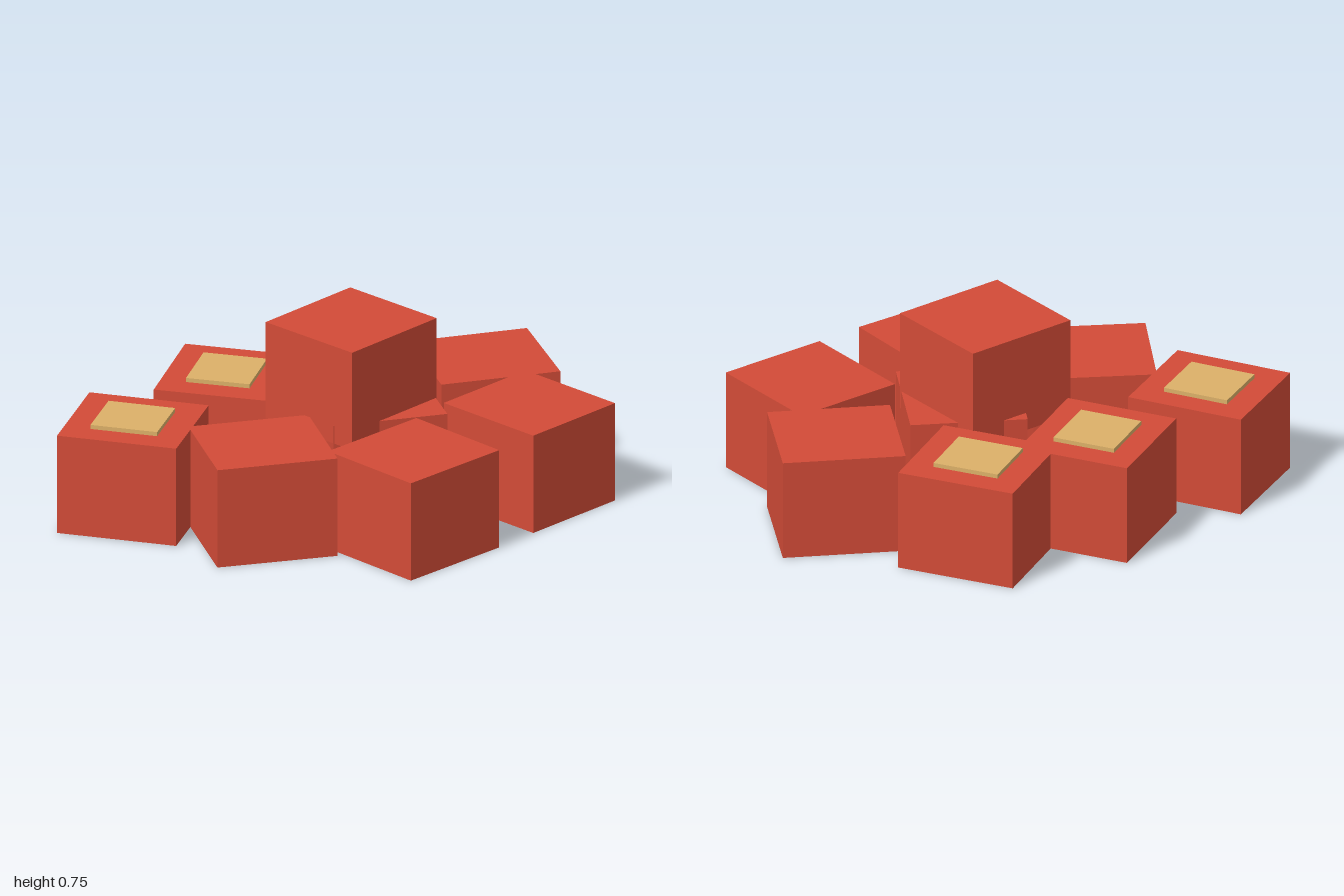
import * as THREE from 'three';

const LENGTH = 0.483, HEIGHT = 0.41, WIDTH = 0.46;

export function createModel() {
  const model = new THREE.Group();
  model.name = 'crateStack';
  const red = new THREE.MeshStandardMaterial({ color: 0xd24b37 });
  const tan = new THREE.MeshStandardMaterial({ color: 0xdcb068 });
  const crateGeometry = new THREE.BoxGeometry(LENGTH, HEIGHT, WIDTH);
  const labelGeometry = new THREE.BoxGeometry(0.27, 0.03, 0.256);

  // One crate, optionally with a thin panel set into its lid
  function addCrate(name, x, z, degrees, { base = 0, panel = false } = {}) {
    const crate = new THREE.Group();
    crate.name = name;
    const body = new THREE.Mesh(crateGeometry, red);
    body.name = 'crateBody';
    body.position.y = HEIGHT / 2;
    crate.add(body);
    if (panel) {
      const lid = new THREE.Mesh(labelGeometry, tan);
      lid.name = 'lidPanel';
      lid.position.y = HEIGHT + 0.002;
      crate.add(lid);
    }
    crate.position.set(x, base, z);
    crate.rotation.y = THREE.MathUtils.degToRad(degrees);
    model.add(crate);
  }

  // Crates with lid panels along the right side
  addCrate('frontRightCrate', -0.759, 0.46, 0, { panel: true });
  addCrate('middleRightCrate', -0.543, -0.112, 91.3, { panel: true });
  addCrate('backRightCrate', -0.219, -0.519, 2.1, { panel: true });

  // Plain crates scattered around the middle
  addCrate('backLeftCrate', 0.377, -0.545, 32.4);
  addCrate('middleLeftCrate', 0.677, -0.136, -27.8);
  addCrate('frontLeftCrate', 0.377, 0.455, 60.5);
  addCrate('frontCrate', -0.21, 0.537, 30.3);

  // Centre crate and the one resting on it
  addCrate('centreCrate', 0.078, -0.027, -58.5);
  addCrate('topCrate', 0, 0.021, 63, { base: 0.335 });

  return model;
}
